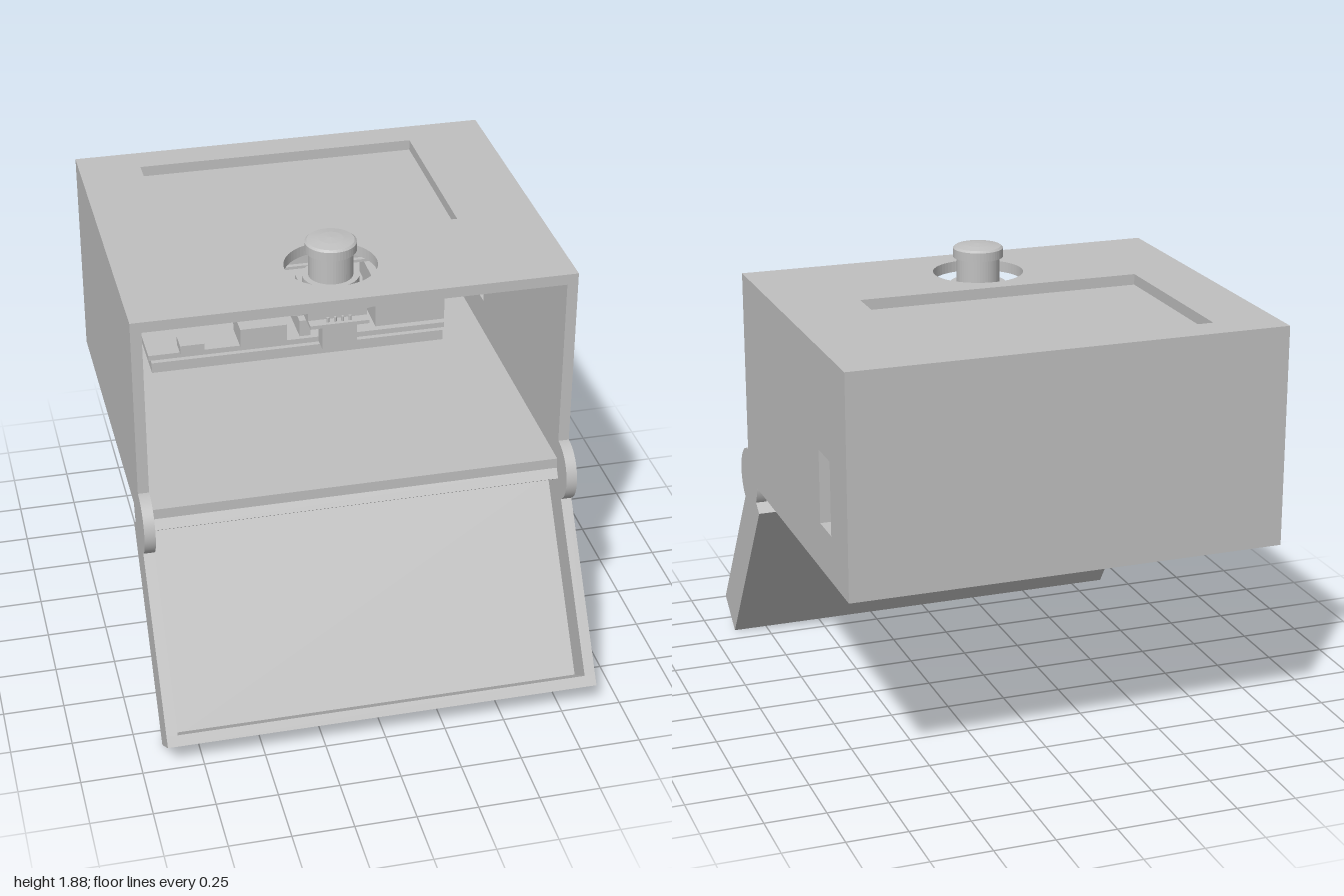
import * as THREE from 'three';

const grey = new THREE.MeshStandardMaterial({ color: 0xc0c0c0 });
grey.name = 'plain grey';

function add(parent, name, geometry) {
  const mesh = new THREE.Mesh(geometry, grey);
  mesh.name = name;
  parent.add(mesh);
  return mesh;
}

// Box given by its extents along x, y and z
function block(parent, name, [x0, x1], [y0, y1], [z0, z1]) {
  const mesh = add(parent, name, new THREE.BoxGeometry(x1 - x0, y1 - y0, z1 - z0));
  mesh.position.set((x0 + x1) / 2, (y0 + y1) / 2, (z0 + z1) / 2);
  return mesh;
}

// Upright cylinder between two heights
function post(parent, name, x, z, r, y0, y1, sides = 40) {
  const mesh = add(parent, name, new THREE.CylinderGeometry(r, r, y1 - y0, sides));
  mesh.position.set(x, (y0 + y1) / 2, z);
  return mesh;
}

function rect(path, x0, y0, x1, y1) {
  path.moveTo(x0, y0);
  path.lineTo(x1, y0);
  path.lineTo(x1, y1);
  path.lineTo(x0, y1);
  path.closePath();
  return path;
}

function plate(shape, depth) {
  return new THREE.ExtrudeGeometry(shape, { depth, bevelEnabled: false, curveSegments: 32 });
}

const W = 0.895, T = 0.045;
const Y0 = 0.855, Y1 = 1.76, BACK = -1, FRONT = 0.48;
const SX = -0.04, SZ = 0.18; // sensor axis

function buildCase() {
  const g = new THREE.Group();
  g.name = 'case';
  block(g, 'floor', [-W, W], [Y0, Y0 + T], [BACK, FRONT]);
  block(g, 'backWall', [-W, W], [Y0 + T, Y1 - T], [BACK, BACK + T]);
  block(g, 'rightWall', [-W, -W + T], [Y0 + T, Y1 - T], [BACK + T, FRONT]);

  // Left wall with a port slot; shape runs along -z
  const side = rect(new THREE.Shape(), -FRONT, Y0 + T, -BACK - T, Y1 - T);
  side.holes.push(rect(new THREE.Path(), 0.63, 1.045, 0.78, 1.345));
  add(g, 'leftWall', plate(side, T).rotateY(Math.PI / 2)).position.x = W - T;

  // Roof with screen window and sensor hole
  const roof = rect(new THREE.Shape(), -W, -FRONT, W, -BACK);
  roof.holes.push(rect(new THREE.Path(), -0.635, 0.085, 0.555, 0.86));
  roof.holes.push(new THREE.Path().absarc(SX, -SZ, 0.188, 0, Math.PI * 2));
  add(g, 'roof', plate(roof, T).rotateX(-Math.PI / 2)).position.y = Y1 - T;

  for (const s of [-1, 1]) {
    const foot = block(g, 'foot', [-0.21, 0.21], [0.81, Y0], [-0.775, 0.11]);
    foot.position.x = s * 0.61;
    // Hinge disc, flush with the side
    const disc = add(g, 'hingeDisc', new THREE.CylinderGeometry(0.131, 0.131, T, 64).rotateZ(Math.PI / 2));
    disc.position.set(s * (W - T / 2), Y0, FRONT);
  }
  return g;
}

// Open tray hanging from the hinge line
function buildLid() {
  const g = new THREE.Group();
  g.name = 'lid';
  const L = 0.91, D = 0.19;
  block(g, 'lidPanel', [-W, W], [-L, 0], [-D, -D + T]);
  block(g, 'lidTopRim', [-W, W], [-T, 0], [-D + T, 0]);
  block(g, 'lidBottomRim', [-W, W], [-L, -L + T], [-D + T, 0]);
  for (const s of [-1, 1]) {
    const rim = block(g, 'lidSideRim', [-T / 2, T / 2], [-L + T, -T], [-D + T, 0]);
    rim.position.x = s * (W - T / 2);
  }
  g.position.set(0, Y0, FRONT);
  g.rotation.x = -0.608;
  return g;
}

function buildScreen() {
  const g = new THREE.Group();
  g.name = 'screen';
  block(g, 'screenPanel', [-0.76, 0.7], [1.645, 1.708], [-0.9, -0.06]);
  block(g, 'screenBoard', [-0.845, 0.765], [1.633, 1.645], [-0.92, -0.04]);
  return g;
}

function buildSensor() {
  const g = new THREE.Group();
  g.name = 'motionSensor';
  // Stepped cap with a shallow dome
  const profile = [
    [0, 1.66], [0.115, 1.66], [0.115, 1.715], [0.09, 1.715], [0.09, 1.825],
    [0.104, 1.825], [0.104, 1.862], [0.095, 1.87], [0.05, 1.877], [0, 1.88],
  ].map(([r, y]) => new THREE.Vector2(r, y));
  const cap = new THREE.LatheGeometry(profile, 48).toNonIndexed();
  cap.computeVertexNormals();
  add(g, 'sensorCap', cap).position.set(SX, 0, SZ);
  block(g, 'sensorHousing', [SX - 0.12, SX + 0.12], [1.58, 1.665], [0.06, 0.3]);

  // Circuit plate with drilled ears
  const board = rect(new THREE.Shape(), SX - 0.12, -0.345, SX + 0.12, -0.045);
  add(g, 'sensorBoard', plate(board, 0.015).rotateX(-Math.PI / 2)).position.y = 1.565;
  for (const s of [-1, 1]) {
    const ear = new THREE.Shape().absarc(0, 0, 0.045, 0, Math.PI * 2);
    ear.holes.push(new THREE.Path().absarc(0, 0, 0.015, 0, Math.PI * 2));
    add(g, 'sensorEar', plate(ear, 0.015).rotateX(-Math.PI / 2)).position.set(SX + s * 0.14, 1.565, SZ);
    block(g, 'sensorShoulder', [SX + s * 0.135 - 0.025, SX + s * 0.135 + 0.025], [1.58, 1.655], [0.16, 0.2]);
    post(g, 'sensorAdjuster', SX + s * 0.13, 0.1, 0.028, 1.535, 1.565, 20);
  }
  block(g, 'sensorConnector', [-0.11, 0.03], [1.465, 1.565], [0.27, 0.34]);
  for (let i = 0; i < 4; i++) {
    post(g, 'sensorPin', SX - 0.045 + i * 0.03, 0.325, 0.006, 1.58, 1.6, 8);
  }
  return g;
}

function buildComputer() {
  const g = new THREE.Group();
  g.name = 'circuitBoard';
  block(g, 'mountingPlate', [-0.745, 0.487], [1.235, 1.28], [-0.82, -0.02]);
  block(g, 'mainBoard', [-0.76, 0.487], [1.305, 1.328], [-0.82, 0]);
  // Ports along the front edge
  block(g, 'powerPort', [-0.63, -0.53], [1.328, 1.365], [-0.07, 0.015]);
  block(g, 'videoPort', [-0.38, -0.185], [1.328, 1.41], [-0.14, 0.015]);
  block(g, 'cameraSlot', [-0.125, -0.08], [1.328, 1.4], [-0.3, -0.02]);
  block(g, 'audioBase', [-0.02, 0.065], [1.328, 1.41], [-0.18, 0]);
  const jack = add(g, 'audioJack', new THREE.CylinderGeometry(0.038, 0.038, 0.04, 24).rotateX(Math.PI / 2));
  jack.position.set(0.022, 1.37, 0.02);
  block(g, 'displaySlot', [-0.71, -0.67], [1.328, 1.405], [-0.55, -0.25]);
  block(g, 'processor', [-0.35, -0.15], [1.328, 1.35], [-0.5, -0.3]);
  // Sockets at the left end
  block(g, 'networkSocket', [0.2, 0.495], [1.328, 1.525], [-0.26, -0.03]);
  block(g, 'usbSocket', [0.25, 0.49], [1.328, 1.545], [-0.52, -0.33]);
  block(g, 'usbSocket', [0.25, 0.49], [1.328, 1.545], [-0.79, -0.6]);
  // Two rows of header pins
  block(g, 'headerBase', [-0.64, 0.09], [1.328, 1.365], [-0.79, -0.71]);
  for (let i = 0; i < 20; i++) {
    for (const z of [-0.77, -0.73]) {
      const x = -0.62 + i * 0.036;
      block(g, 'headerPin', [x - 0.004, x + 0.004], [1.285, 1.44], [z - 0.004, z + 0.004]);
    }
  }
  return g;
}

// Round buzzer on the back wall
function buildBuzzer() {
  const profile = [[0, 0], [0.09, 0], [0.09, 0.09], [0.078, 0.1], [0.028, 0.1], [0.028, 0.07], [0, 0.07]]
    .map(([r, y]) => new THREE.Vector2(r, y));
  const geometry = new THREE.LatheGeometry(profile, 40).toNonIndexed().rotateX(Math.PI / 2);
  geometry.computeVertexNormals();
  const buzzer = new THREE.Mesh(geometry, grey);
  buzzer.name = 'buzzer';
  buzzer.position.set(0.63, 1.105, BACK + T);
  return buzzer;
}

export function createModel() {
  const model = new THREE.Group();
  model.name = 'deviceBox';
  model.add(buildCase(), buildLid(), buildScreen(), buildSensor(), buildComputer(), buildBuzzer());
  return model;
}
